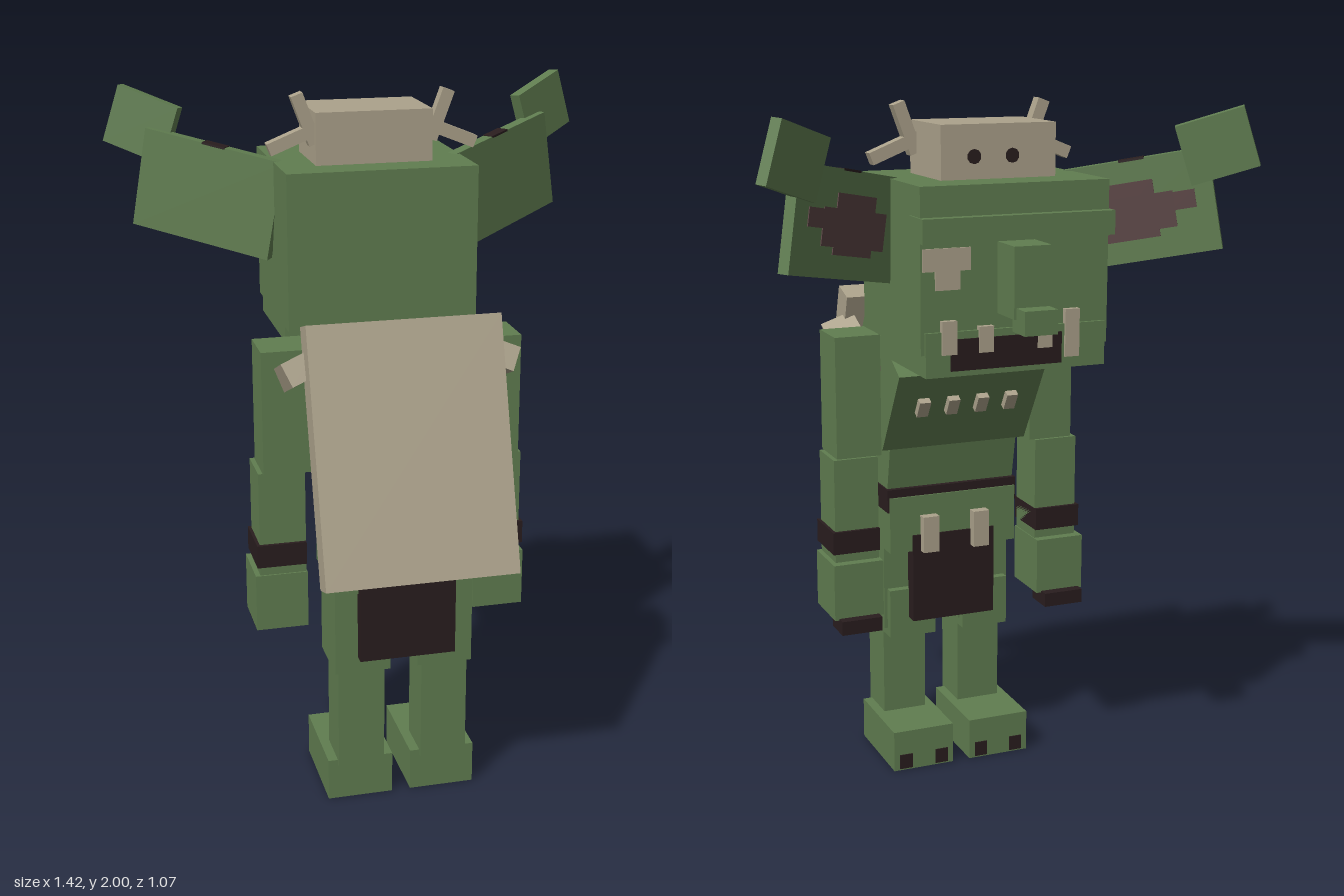
import * as THREE from 'three';

const mat = (name, color) => {
  const m = new THREE.MeshStandardMaterial({ color });
  m.name = name;
  return m;
};

export function createModel() {
  const green = mat('mossGreen', 0x607d50);
  const bone = mat('boneTan', 0xaca28b);
  const dark = mat('darkLeather', 0x291d1e);
  const maroon = mat('innerEarMaroon', 0x5a4343);

  const model = new THREE.Group();
  model.name = 'earedCreature';

  // Box from its extents on each axis
  const box = (name, m, [x0, x1], [y0, y1], [z0, z1], parent = model) => {
    const mesh = new THREE.Mesh(new THREE.BoxGeometry(x1 - x0, y1 - y0, z1 - z0), m);
    mesh.position.set((x0 + x1) / 2, (y0 + y1) / 2, (z0 + z1) / 2);
    mesh.name = name;
    parent.add(mesh);
    return mesh;
  };
  // Group placed at a point, pitched about x and rolled about its own z
  const tilted = (name, [x, y, z], pitch, roll = 0) => {
    const g = new THREE.Group();
    g.name = name;
    g.position.set(x, y, z);
    g.rotation.set(pitch, 0, roll);
    model.add(g);
    return g;
  };
  // Group whose local x and y follow the given directions
  const oriented = (name, centre, u, v) => {
    const x = new THREE.Vector3(...u).normalize();
    const z = new THREE.Vector3().crossVectors(x, new THREE.Vector3(...v)).normalize();
    const y = new THREE.Vector3().crossVectors(z, x);
    const g = new THREE.Group();
    g.name = name;
    g.quaternion.setFromRotationMatrix(new THREE.Matrix4().makeBasis(x, y, z));
    g.position.set(...centre);
    model.add(g);
    return g;
  };
  const mid = (w, c = 0) => [c - w / 2, c + w / 2];

  // Head, jaw and face
  box('head', green, [-0.27, 0.27], [1.36, 1.8], [-0.37, 0.08]);
  box('jaw', green, [-0.26, 0.26], [1.3, 1.42], [-0.38, -0.03]);
  box('mouth', dark, [-0.13, 0.19], [1.315, 1.4], [-0.384, -0.379]);
  box('brow', green, [-0.275, 0.275], [1.655, 1.72], [-0.4, -0.3]);
  box('nose', green, [-0.053, 0.053], [1.46, 1.65], [-0.48, -0.36]);
  box('noseTip', green, [-0.047, 0.047], [1.425, 1.49], [-0.535, -0.455]);
  box('neck', green, [-0.11, 0.11], [1.25, 1.37], [-0.05, 0.08]);
  for (const [x, y0, y1] of [[0.195, 1.36, 1.45], [0.09, 1.36, 1.43], [-0.08, 1.36, 1.44], [-0.16, 1.33, 1.46]])
    box('tooth', bone, mid(0.042, x), [y0, y1], [-0.387, -0.365]);
  box('facePatch', bone, [0.13, 0.265], [1.58, 1.64], [-0.375, -0.369]);
  box('facePatchLower', bone, [0.16, 0.23], [1.53, 1.58], [-0.375, -0.369]);

  // Skull worn on the head
  box('skull', bone, [-0.167, 0.165], [1.8, 1.945], [-0.25, -0.02]);
  for (const s of [-1, 1]) {
    const eye = new THREE.Mesh(new THREE.CylinderGeometry(0.02, 0.02, 0.006, 10), dark);
    eye.name = 'skullEye';
    eye.rotation.x = Math.PI / 2;
    eye.position.set(0.015 + s * 0.055, 1.86, -0.249);
    model.add(eye);

    // Crossed bones beside the skull
    const upper = oriented('upperBone', [s * 0.19, 1.925, -0.052], [s * 0.05, 0.135, 0], [0.135, -s * 0.05, 0]);
    box('boneShaft', bone, mid(0.145), mid(0.035), mid(0.035), upper);
    const lower = oriented('lowerBone', [s * 0.22, 1.875, -0.052], [s * 0.15, -0.06, 0], [0.06, s * 0.15, 0]);
    box('boneShaft', bone, mid(0.16), mid(0.035), mid(0.035), lower);

    // Ears with a stained inner face and an upturned tip
    const ear = oriented('ear', [s * 0.435, 1.696, -0.232], [s * 0.37, 0.08, -0.24], [-s * 0.04, 0.28, 0.02]);
    box('earPlate', green, mid(0.425), mid(0.283), mid(0.035), ear);
    for (const [w, h, x, y] of [[0.26, 0.1, -0.03, -0.01], [0.16, 0.16, -0.03, 0], [0.07, 0.05, 0.125, 0.01]])
      box('earStain', maroon, mid(w, x), mid(h, y), mid(0.006, -s * 0.0175), ear);
    box('earEdgeStain', dark, mid(0.07), mid(0.006, 0.1405), mid(0.036), ear);
    const tip = oriented('earTip', [s * 0.6, 1.877, -0.366], [s * 0.155, 0.058, -0.1], [-s * 0.05, 0.16, 0.017]);
    box('earTipPlate', green, mid(0.193), mid(0.168), mid(0.035), tip);
  }

  // Hunched torso
  const chest = tilted('chest', [0, 1.198, 0.13], -0.545);
  box('chestBlock', green, mid(0.45), mid(0.29), mid(0.316), chest);
  for (const x of [-0.135, -0.045, 0.045, 0.135])
    box('necklaceTooth', bone, mid(0.034, x), [0, 0.055], [-0.178, -0.15], chest);
  const belly = tilted('belly', [0, 1.03, 0.195], -0.2);
  box('bellyBlock', green, mid(0.4), [-0.18, 0.18], mid(0.25), belly);

  // Belt, hips and loincloths
  box('belt', dark, [-0.205, 0.205], [0.795, 0.865], [0.085, 0.365]);
  box('waist', green, [-0.2, 0.2], [0.67, 0.84], [0.08, 0.2]);
  box('hips', green, [-0.165, 0.165], [0.67, 0.8], [0.12, 0.345]);
  box('rearLoincloth', dark, [-0.138, 0.138], [0.47, 0.72], [0.335, 0.367]);
  box('frontLoincloth', dark, [-0.13, 0.13], [0.45, 0.72], [0.075, 0.12]);
  for (const x of [-0.08, 0.08])
    box('beltBone', bone, mid(0.05, x), [0.67, 0.78], [0.05, 0.085]);

  // Slab carried on the back
  const slab = tilted('backSlab', [0, 1.095, 0.385], -0.32);
  box('slabPlate', bone, mid(0.54), mid(0.708), mid(0.078), slab);

  for (const s of [-1, 1]) {
    const sx = (a, b) => (s > 0 ? [a, b] : [-b, -a]);
    // Straps under the arms
    const strap = tilted('shoulderStrap', [s * 0.275, 1.277, 0.185], -0.4, -s * 0.4);
    box('strapBar', bone, mid(0.1), mid(0.07), mid(0.24), strap);

    // Arms
    box('upperArm', green, sx(0.235, 0.37), [0.985, 1.34], [0.05, 0.19]);
    box('forearm', green, sx(0.25, 0.383), [0.67, 0.985], [0.04, 0.175]);
    box('wristBand', dark, sx(0.25, 0.392), [0.705, 0.772], [0.03, 0.185]);
    box('hand', green, sx(0.247, 0.397), [0.51, 0.678], [0.012, 0.18]);
    box('claws', dark, sx(0.262, 0.385), [0.473, 0.515], [-0.018, 0.075]);

    // Legs
    box('thigh', green, sx(0.04, 0.2), [0.415, 0.78], [0.14, 0.322]);
    box('kneeGuard', green, sx(0.045, 0.19), [0.39, 0.54], [0.115, 0.18]);
    box('shin', green, sx(0.055, 0.19), [0.11, 0.42], [0.18, 0.312]);
    box('foot', green, sx(0.027, 0.218), [0, 0.125], [0.015, 0.298]);
    for (const x of [0.065, 0.18])
      box('toenail', dark, mid(0.04, s * x), [0.005, 0.05], [0.012, 0.018]);
  }
  return model;
}
